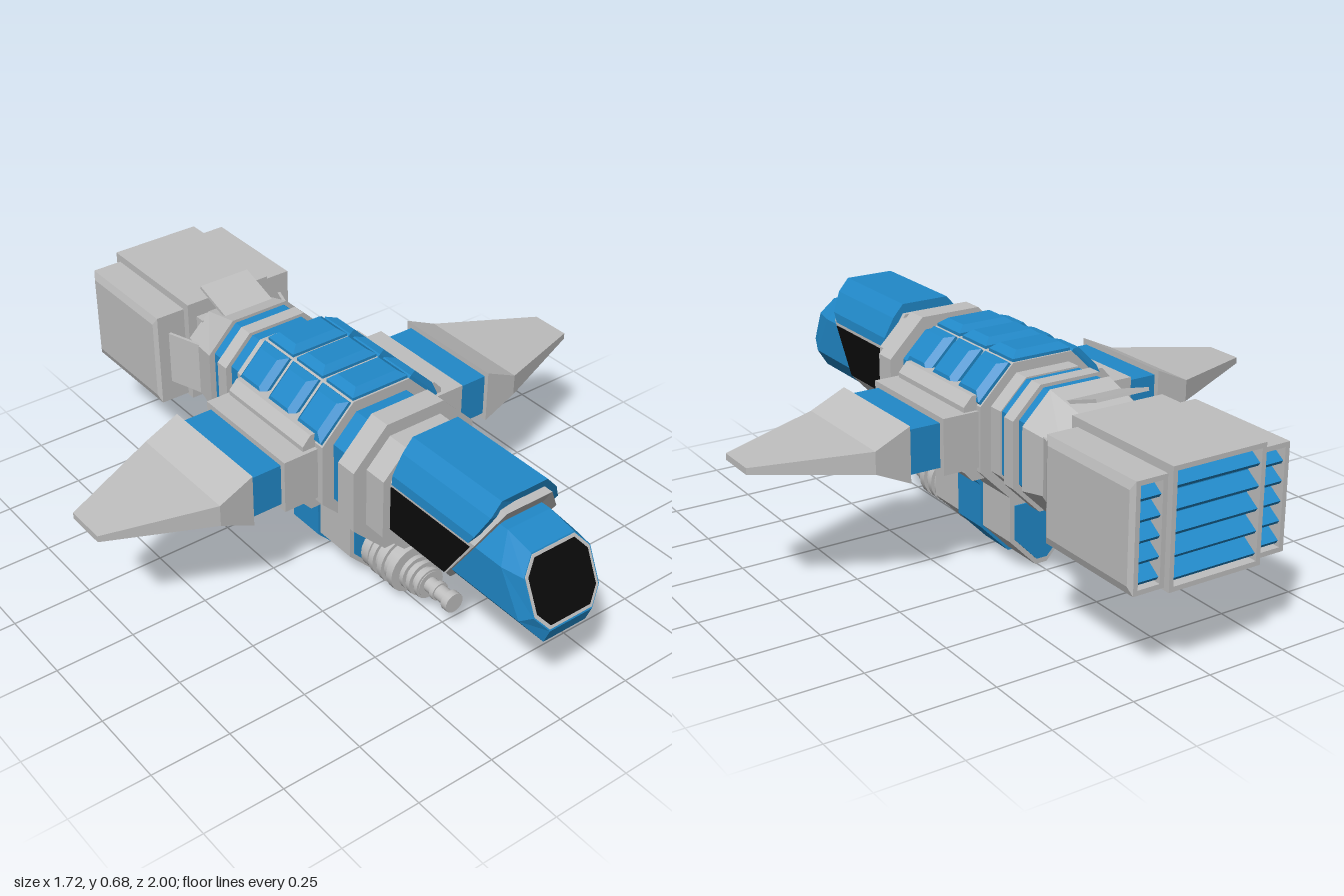
import * as THREE from 'three';

const grey = new THREE.MeshStandardMaterial({ name: 'hull grey', color: 0xbfbfbf });
const blue = new THREE.MeshStandardMaterial({ name: 'panel blue', color: 0x2189c9 });
const black = new THREE.MeshStandardMaterial({ name: 'window black', color: 0x0a0a0a });

// Flat-shaded skin over rings of [x, y, z], ordered back to front, counter-clockwise from +z
function loft(rings) {
  const pos = [], n = rings[0].length, last = rings[rings.length - 1];
  const tri = (...p) => p.forEach((v) => pos.push(...v));
  for (let i = 0; i < rings.length - 1; i++) {
    const a = rings[i], b = rings[i + 1];
    for (let j = 0; j < n; j++) {
      const k = (j + 1) % n;
      tri(a[j], a[k], b[k]);
      tri(a[j], b[k], b[j]);
    }
  }
  for (let j = 1; j < n - 1; j++) {
    tri(last[0], last[j], last[j + 1]);
    tri(rings[0][0], rings[0][j + 1], rings[0][j]);
  }
  const g = new THREE.BufferGeometry();
  g.setAttribute('position', new THREE.Float32BufferAttribute(pos, 3));
  g.computeVertexNormals();
  return g;
}

// Cross-sections: mirror a right-hand half, octagon, rectangle; then place at z (number or rule of y)
const mirror = (half) => [...half, ...half.map(([x, y]) => [-x, y]).reverse()];
const oct = (hw, y0, y1, fx, c0, c1 = c0) => mirror([[fx, y0], [hw, y0 + c0], [hw, y1 - c1], [fx, y1]]);
const rect = (x0, x1, y0, y1) => [[x0, y0], [x1, y0], [x1, y1], [x0, y1]];
const at = (pts, z) => pts.map(([x, y]) => [x, y, typeof z === 'function' ? z(y) : z]);
const prism = (pts, z0, z1) => loft([at(pts, z0), at(pts, z1)]);

export function createModel() {
  const model = new THREE.Group();
  const add = (name, geo, mat, parent = model) => {
    const m = new THREE.Mesh(geo, mat);
    m.name = name;
    parent.add(m);
    return m;
  };
  const box = (name, mat, x0, x1, y0, y1, z0, z1) =>
    add(name, prism(rect(x0, x1, y0, y1), z0, z1), mat);

  // Octagonal fuselage sections: name, material, z0, z1, half width, y0, y1, flat half width
  [
    ['neck', grey, 0.35, 0.425, 0.17, 0.27, 0.62, 0.09],
    ['frontRing', grey, 0.28, 0.35, 0.215, 0.23, 0.66, 0.1],
    ['frontBand', blue, 0.2, 0.28, 0.17, 0.27, 0.62, 0.09],
    ['hull', grey, -0.22, 0.2, 0.21, 0.235, 0.655, 0.1],
    ['rearCollar', grey, -0.27, -0.22, 0.175, 0.26, 0.625, 0.09],
    ['rearBand', blue, -0.31, -0.27, 0.17, 0.27, 0.62, 0.09],
    ['rearRing', grey, -0.355, -0.31, 0.19, 0.25, 0.63, 0.1],
    ['rearBand', blue, -0.4, -0.355, 0.17, 0.27, 0.62, 0.09],
  ].forEach(([name, mat, z0, z1, hw, y0, y1, fx]) =>
    add(name, prism(oct(hw, y0, y1, fx, hw - fx), z0, z1), mat));
  add('tailCone', loft([at(oct(0.165, 0.3, 0.59, 0.09, 0.07), -0.55),
    at(oct(0.19, 0.26, 0.63, 0.1, 0.09), -0.4)]), grey);
  box('engineMount', grey, -0.12, 0.12, 0.32, 0.57, -0.58, -0.54);

  // Cockpit shell, cut on a slant at the front
  const slant = (y) => Math.min(0.62 + (y - 0.3) * 0.66, 0.815);
  const shell = oct(0.145, 0.29, 0.63, 0.08, 0.08, 0.1);
  add('cockpitShell', loft([at(shell, 0.42), at(shell, slant)]), grey);
  const cover = mirror([[0.15, 0.53], [0.148, 0.56], [0.115, 0.62], [0.08, 0.66]]);
  add('canopy', loft([at(cover, 0.435), at(cover, (y) => Math.min(slant(y) - 0.02, 0.8))]), blue);

  // Nose with slanted windscreen
  const face = (y) => 1 - (y - 0.36) * 0.45;
  const noseBody = oct(0.13, 0.31, 0.58, 0.075, 0.07);
  add('nose', loft([
    at(noseBody, (y) => slant(y) - 0.03),
    at(noseBody, (y) => 0.98 - (y - 0.31) * 0.6),
    at(oct(0.117, 0.36, 0.562, 0.075, 0.05), face)]), blue);
  const plate = (pts, lift) => loft([at(pts, (y) => face(y) - 0.002), at(pts, (y) => face(y) + lift)]);
  add('windscreenRim', plate(oct(0.113, 0.366, 0.558, 0.075, 0.045), 0.002), grey);
  add('windscreen', plate(oct(0.104, 0.376, 0.55, 0.07, 0.04), 0.004), black);

  // Side windows
  const pane = new THREE.Shape([[0.755, 0.517], [0.43, 0.517], [0.43, 0.373], [0.662, 0.373]]
    .map(([z, y]) => new THREE.Vector2(z, y)));
  for (const x of [0.149, -0.143]) {
    const g = new THREE.ExtrudeGeometry(pane, { depth: 0.006, bevelEnabled: false });
    add('sideWindow', g.rotateY(-Math.PI / 2), black).position.x = x;
  }

  // Bevelled blocks over the top of the hull
  for (const a of [-1, 0, 1]) {
    const row = new THREE.Group();
    row.name = 'hullBlocks';
    row.position.y = 0.445;
    row.rotation.z = a * Math.PI / 4;
    model.add(row);
    const w = a ? 0.072 : 0.098;
    for (const z of [0.132, -0.01, -0.152]) {
      const g = loft([at(rect(-w, w, -0.062, 0.062), 0), at(rect(-w, w, -0.062, 0.062), 0.012),
        at(rect(-w + 0.025, w - 0.025, -0.042, 0.042), 0.03)]).rotateX(-Math.PI / 2);
      add('hullBlock', g, blue, row).position.set(0, a ? 0.217 : 0.207, z);
    }
  }

  // Side mounts and wings
  add('wingMountBase', prism(oct(0.252, 0.318, 0.575, 0.225, 0.03), -0.2, 0.165), grey);
  box('wingMount', grey, -0.325, 0.325, 0.36, 0.53, -0.21, 0.178);
  box('wingJoint', blue, -0.44, 0.44, 0.378, 0.512, -0.19, 0.16);
  for (const s of [1, -1]) {
    const rib = (z0, z1, h, x) =>
      at(rect(s > 0 ? -z1 : z0, s > 0 ? -z0 : z1, 0.445 - h, 0.445 + h), x);
    const wing = loft([rib(-0.208, 0.175, 0.085, 0.43), rib(-0.208, 0.175, 0.034, 0.54),
      rib(-0.07, 0.06, 0.01, 0.86)]);
    add(s > 0 ? 'leftWing' : 'rightWing', wing, grey).rotation.y = s * Math.PI / 2;
  }

  // Belly pod with blue belt and end panels
  const pod = (g, y0) => mirror([[0.02, y0], [0.11 + g, 0.105 - g / 2], [0.11 + g, 0.26]]);
  add('bellyPod', prism(pod(0, 0.012), -0.22, 0.2), grey);
  add('podBelt', prism(pod(0.008, 0), -0.073, 0.053), blue);
  add('hullBelt', prism(mirror([[0.105, 0.224], [0.222, 0.342]]), -0.073, 0.053), blue);
  const panel = mirror([[0.018, 0.03], [0.095, 0.11], [0.095, 0.218]]);
  add('podFrontPanel', prism(panel, 0.198, 0.204), blue);
  add('podBackPanel', prism(panel, -0.224, -0.218), blue);

  // Stepped gun barrel: z0, z1, radius
  const gun = new THREE.Group();
  gun.name = 'gun';
  gun.position.y = 0.105;
  model.add(gun);
  [
    [0.2, 0.235, 0.072], [0.235, 0.35, 0.065], [0.245, 0.265, 0.077], [0.285, 0.305, 0.077],
    [0.33, 0.355, 0.077], [0.355, 0.44, 0.042], [0.365, 0.38, 0.056], [0.395, 0.41, 0.056],
    [0.425, 0.438, 0.05], [0.438, 0.53, 0.024], [0.47, 0.485, 0.03], [0.525, 0.548, 0.032],
  ].forEach(([z0, z1, r]) => {
    const g = new THREE.CylinderGeometry(r, r, z1 - z0, 20).rotateX(Math.PI / 2);
    add('barrelStep', g, grey, gun).position.z = (z0 + z1) / 2;
  });

  // Four flared flaps around the tail
  for (let k = 0; k < 4; k++) {
    const pivot = new THREE.Group();
    pivot.name = 'tailFlap';
    pivot.position.y = 0.445;
    pivot.rotation.z = k * Math.PI / 2;
    model.add(pivot);
    const flap = add('flapPlate', new THREE.BoxGeometry(0.175, 0.01, 0.142), grey, pivot);
    flap.position.set(0, 0.186, -0.528);
    flap.rotation.x = 0.32;
  }

  // Engine housings, open at the back with slanted louvres
  const engine = (name, x0, x1, y0, y1, z0, z1) => {
    const t = 0.014, toPath = (r) => r.map(([x, y]) => new THREE.Vector2(x, y));
    const frame = new THREE.Shape(toPath(rect(x0, x1, y0, y1)));
    frame.holes.push(new THREE.Path(toPath(rect(x0 + t, x1 - t, y0 + t, y1 - t).reverse())));
    const g = new THREE.ExtrudeGeometry(frame, { depth: z1 - z0, bevelEnabled: false });
    add(name, g, grey).position.z = z0;
    box(name + 'Front', grey, x0 + t, x1 - t, y0 + t, y1 - t, z1 - 0.03, z1);
    box(name + 'Core', blue, x0 + t, x1 - t, y0 + t, y1 - t, z0 + 0.05, z1 - 0.03);
    const step = (y1 - y0 - 2 * t) / 5;
    for (let i = 0; i < 5; i++) {
      const slat = add(name + 'Louvre', new THREE.BoxGeometry(x1 - x0 - 2 * t, 0.012, 0.055), blue);
      slat.position.set((x0 + x1) / 2, y0 + t + step * (i + 0.5), z0 + 0.032);
      slat.rotation.x = -0.6;
    }
  };
  engine('mainEngine', -0.15, 0.15, 0.278, 0.62, -1, -0.575);
  engine('leftEngine', 0.15, 0.247, 0.285, 0.595, -0.98, -0.6);
  engine('rightEngine', -0.247, -0.15, 0.285, 0.595, -0.98, -0.6);
  for (const s of [1, -1]) {
    // Bevelled outer panel of each side engine
    const g = loft([at(rect(-0.19, 0.19, -0.155, 0.155), 0), at(rect(-0.175, 0.175, -0.13, 0.13), 0.009)]);
    const p = add('enginePanel', g, grey);
    p.rotation.y = s * Math.PI / 2;
    p.position.set(s * 0.247, 0.44, -0.79);
  }
  return model;
}
